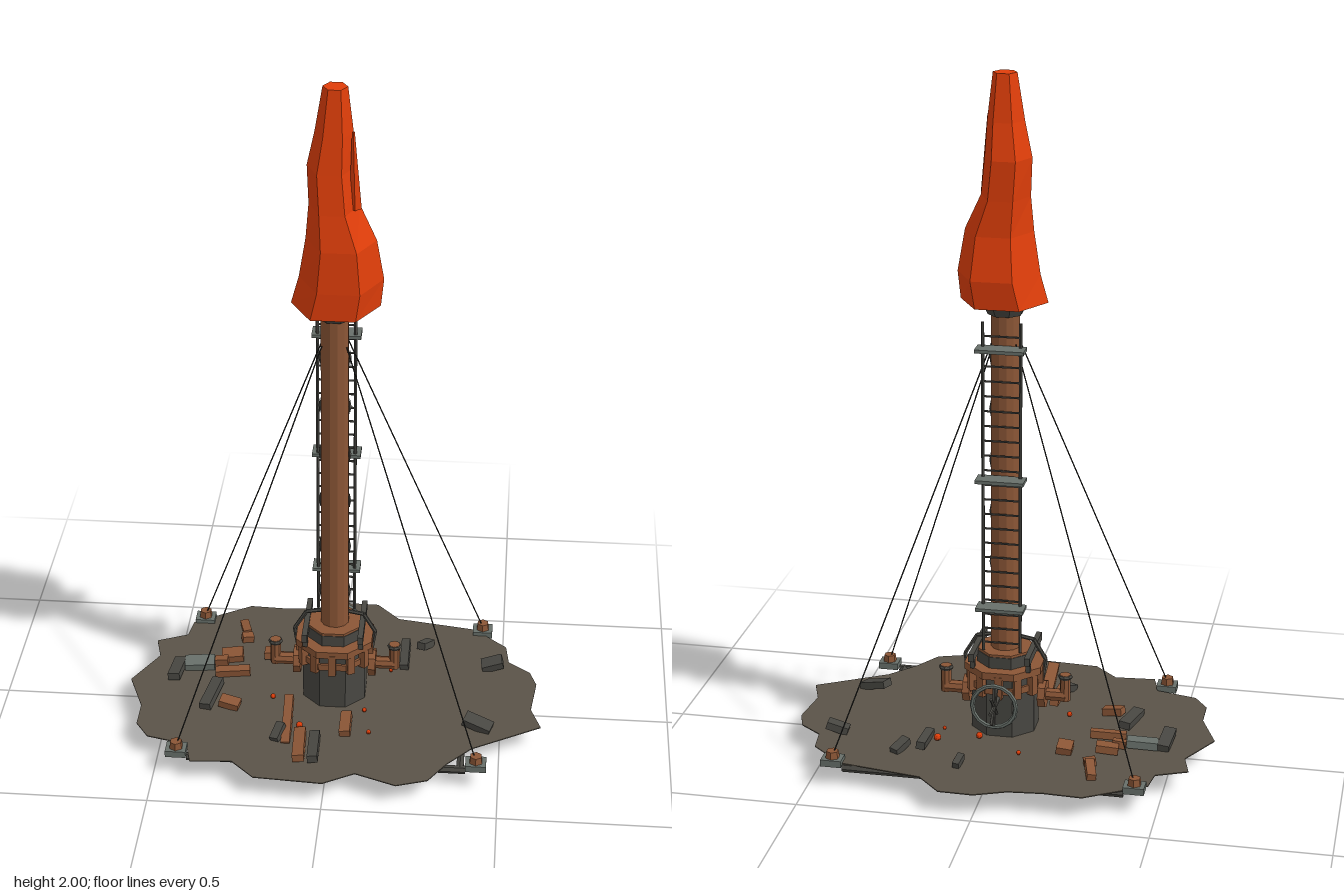
import * as THREE from 'three';

const mat = (name, color) => new THREE.MeshStandardMaterial({ name, color, flatShading: true });

export function createModel() {
  const group = new THREE.Group();
  const rust = mat('rust', 0x8b5636);
  const steel = mat('dark steel', 0x484742);
  const pale = mat('pale steel', 0x68706a);
  const flameOrange = mat('flame orange', 0xe03e0a);
  const soil = mat('scorched soil', 0x5a5348);
  const black = mat('cable black', 0x2a2a28);

  const add = (name, geo, material, x = 0, y = 0, z = 0, rx = 0, ry = 0, rz = 0) => {
    const m = new THREE.Mesh(geo, material);
    m.name = name;
    m.position.set(x, y, z);
    m.rotation.set(rx, ry, rz);
    group.add(m);
    return m;
  };
  const box = (w, h, d) => new THREE.BoxGeometry(w, h, d);
  const cyl = (rt, rb, h, n = 8) => new THREE.CylinderGeometry(rt, rb, h, n);
  // Straight rod between two points
  const rod = (name, a, b, r, material, n = 6) => {
    const p = new THREE.Vector3(...a), q = new THREE.Vector3(...b);
    const m = add(name, cyl(r, r, p.distanceTo(q), n), material);
    m.position.copy(p).add(q).multiplyScalar(0.5);
    m.quaternion.setFromUnitVectors(new THREE.Vector3(0, 1, 0), q.sub(p).normalize());
  };

  // Ragged patch of ground
  const outline = [
    [0.605, -0.07], [0.59, 0.06], [0.62, 0.145], [0.42, 0.265], [0.35, 0.345], [0.3, 0.425],
    [0.21, 0.456], [0.09, 0.41], [0, 0.463], [-0.2, 0.45], [-0.27, 0.38], [-0.39, 0.39],
    [-0.41, 0.31], [-0.53, 0.28], [-0.57, 0.22], [-0.57, 0.13], [-0.62, 0], [-0.55, -0.13],
    [-0.57, -0.21], [-0.48, -0.25], [-0.47, -0.32], [-0.3, -0.425], [-0.19, -0.42],
    [-0.09, -0.43], [0, -0.467], [0.1, -0.465], [0.17, -0.39], [0.41, -0.35],
    [0.51, -0.26], [0.52, -0.18], [0.585, -0.13]];
  const shape = new THREE.Shape(outline.map(([x, z]) => new THREE.Vector2(x, -z)));
  const patch = new THREE.ExtrudeGeometry(shape, { depth: 0.003, bevelEnabled: false });
  add('ground', patch.rotateX(-Math.PI / 2), soil, 0, 0.062, 0);

  // Buried frame beams
  for (const s of [-1, 1]) {
    rod('frameBeamAcross', [-0.405, 0.05, s * 0.348], [0.405, 0.05, s * 0.348], 0.012, steel);
    rod('frameBeamSide', [s * 0.39, 0.05, -0.35], [s * 0.39, 0.05, 0.35], 0.012, steel);
  }

  // Drum, flange and deck
  add('drum', cyl(0.1, 0.1, 0.2), steel, 0, 0.165, 0, 0, Math.PI / 8);
  add('flange', cyl(0.122, 0.122, 0.022), rust, 0, 0.262, 0, 0, Math.PI / 8);
  add('flangeLower', cyl(0.108, 0.108, 0.02), rust, 0, 0.21, 0, 0, Math.PI / 8);
  for (let i = 0; i < 12; i++) {
    const a = (i / 12) * Math.PI * 2;
    add('lug', box(0.022, 0.07, 0.022), rust, Math.sin(a) * 0.103, 0.225, Math.cos(a) * 0.103, 0, a);
  }
  add('deckDrum', cyl(0.085, 0.085, 0.035), steel, 0, 0.29, 0, 0, Math.PI / 8);
  add('deckPlate', cyl(0.083, 0.083, 0.008), rust, 0, 0.311, 0, 0, Math.PI / 8);
  for (const s of [-1, 1]) {
    add('deckRail', box(0.016, 0.024, 0.2), steel, s * 0.082, 0.309, 0);
    for (const z of [-0.075, 0.075]) add('deckPost', box(0.014, 0.03, 0.016), steel, s * 0.082, 0.285, z);
  }
  add('lowerRing', new THREE.TorusGeometry(0.045, 0.005, 5, 8), steel, 0, 0.07, 0);

  // Side outlets and feed pipes, mirrored
  for (const s of [-1, 1]) {
    add('outletFlange', cyl(0.042, 0.042, 0.022), rust, s * 0.112, 0.17, 0, 0, 0, Math.PI / 2);
    rod('outletPipe', [s * 0.1, 0.17, 0], [s * 0.18, 0.17, 0], 0.019, rust, 8);
    add('outletRiser', cyl(0.016, 0.016, 0.082), rust, s * 0.178, 0.196, 0);
    add('outletCollar', new THREE.TorusGeometry(0.015, 0.007, 6, 8), steel, s * 0.178, 0.23, 0, Math.PI / 2);
    const path = [[0.03, 0.35], [0.085, 0.34], [0.12, 0.28], [0.11, 0.215]];
    for (let i = 0; i < 3; i++) {
      rod('feedPipe', [s * path[i][0], path[i][1], 0], [s * path[i + 1][0], path[i + 1][1], 0], 0.006, steel);
    }
  }

  // Valve wheel at the back
  rod('valveStem', [0, 0.195, -0.09], [0, 0.195, -0.17], 0.008, steel);
  add('valveRim', new THREE.TorusGeometry(0.064, 0.007, 6, 16), pale, 0, 0.195, -0.168);
  for (let i = 0; i < 4; i++) {
    add('valveSpoke', cyl(0.005, 0.005, 0.115, 5), steel, 0, 0.195, -0.168, i * Math.PI / 4);
  }

  // Stack
  add('stack', cyl(0.04, 0.042, 1.05, 12), rust, 0, 0.835, 0, 0, Math.PI / 12);
  add('stackCollar', cyl(0.062, 0.05, 0.025), steel, 0, 1.335, 0, 0, Math.PI / 8);
  add('stackLip', cyl(0.052, 0.052, 0.025), rust, 0, 1.35, 0, 0, Math.PI / 8);
  for (let i = 0; i < 6; i++) for (const s of [-1, 1]) {
    add('stackStud', new THREE.OctahedronGeometry(1), steel, s * 0.042, 0.42 + i * 0.155, 0).scale.set(0.005, 0.026, 0.007);
  }

  // Ladder with landings
  for (const s of [-1, 1]) rod('ladderRail', [s * 0.054, 0.32, -0.055], [s * 0.054, 1.31, -0.055], 0.005, steel);
  for (let i = 0; i < 22; i++) {
    const y = 0.345 + i * 0.044;
    rod('ladderRung', [-0.054, y, -0.055], [0.054, y, -0.055], 0.0032, steel, 5);
  }
  for (const y of [0.46, 0.85, 1.235]) {
    add('landing', box(0.14, 0.01, 0.055), pale, 0, y, -0.07);
  }

  // Guy cables and their anchors
  for (const sx of [-1, 1]) for (const sz of [-1, 1]) {
    rod('guyCable', [sx * 0.035, 1.24, sz * 0.025], [sx * 0.432, 0.09, sz * 0.342], 0.002, black, 5);
    add('anchorPlate', box(0.06, 0.02, 0.05), pale, sx * 0.435, 0.067, sz * 0.342);
    add('anchorBolt', cyl(0.018, 0.021, 0.024, 6), rust, sx * 0.435, 0.086, sz * 0.342);
  }

  // Flame: six-sided column, rows from top to bottom [y, min x, max x, min z, max z]
  const rows = [
    [2.0, -0.033, 0.035, -0.03, 0.03], [1.87, -0.055, 0.05, -0.055, 0.048], [1.77, -0.077, 0.056, -0.083, 0.062],
    [1.66, -0.072, 0.068, -0.085, 0.078], [1.56, -0.08, 0.115, -0.09, 0.098],
    [1.44, -0.1, 0.135, -0.115, 0.106], [1.36, -0.122, 0.127, -0.11, 0.107]];
  const flame = new THREE.CylinderGeometry(1, 1, 6, 6, 6).rotateY(Math.PI / 2);
  const p = flame.attributes.position;
  for (let i = 0; i < p.count; i++) {
    const [y, x0, x1, z0, z1] = rows[Math.round(3 - p.getY(i))];
    const u = (p.getX(i) + 1) / 2, v = (p.getZ(i) / Math.sin(Math.PI / 3) + 1) / 2;
    p.setXYZ(i, x0 + (x1 - x0) * u, y, z0 + (z1 - z0) * v);
  }
  flame.computeVertexNormals();
  add('flame', flame, flameOrange);
  add('flameTongue', cyl(0.004, 0.018, 0.22, 5), flameOrange, 0.054, 1.77, 0.02, 0, 0, 0.03);

  // Scattered debris: [x, z, width, length, turn, tilt, material]
  const debris = [
    [-0.30, -0.28, 0.026, 0.08, 0.25, 0.15, rust], [-0.325, -0.133, 0.065, 0.048, 0.1, 0.1, rust],
    [-0.205, -0.153, 0.045, 0.05, 0, 0.15, rust], [-0.315, -0.047, 0.105, 0.028, 0.1, 0.05, rust],
    [-0.305, 0.115, 0.06, 0.038, -0.2, 0.15, rust], [-0.125, 0.19, 0.026, 0.19, 0.03, 0.2, rust],
    [-0.08, 0.303, 0.034, 0.16, 0.05, 0.1, rust], [0.047, 0.193, 0.032, 0.09, 0, 0.1, rust],
    [-0.29, -0.23, 0.035, 0.026, 0.3, 0.1, rust], [-0.355, -0.1, 0.04, 0.025, 0, 0.1, rust],
    [-0.485, -0.047, 0.036, 0.105, -0.08, 0.1, steel], [-0.365, 0.073, 0.034, 0.13, -0.2, 0.08, steel],
    [-0.037, 0.31, 0.03, 0.145, 0.03, 0.1, steel], [0.202, -0.177, 0.026, 0.125, 0, 0.1, steel],
    [0.262, -0.237, 0.028, 0.06, -0.5, 0.3, steel], [0.47, -0.15, 0.065, 0.045, 0.1, 0.3, steel],
    [0.435, 0.16, 0.085, 0.045, -0.3, 0.25, steel], [-0.148, 0.25, 0.026, 0.06, -0.3, 0.35, steel],
    [0.077, -0.3, 0.02, 0.045, -0.2, 0.3, steel], [-0.42, -0.083, 0.09, 0.05, 0.08, 0.05, pale]];
  debris.forEach(([x, z, w, d, turn, tilt, m], i) => {
    const along = d > w, t = i % 2 ? tilt : -tilt;
    const piece = add('debris', box(w, 0.022, d), m, x, 0.079, z);
    piece.rotation.set(along ? t : 0.1, turn, along ? 0.1 : t, 'YXZ');
  });
  add('fallenShard', box(0.018, 0.016, 0.06), rust, -0.1, 0.024, 0.29, 0.62);

  // Glowing embers
  const embers = [[0.17, -0.157, 11], [0.053, -0.122, 10], [-0.08, -0.21, 7], [-0.18, 0.07, 8], [-0.088, 0.207, 10],
    [0.097, 0.117, 7], [0.117, 0.225, 7], [0.163, -0.093, 6], [0.085, -0.29, 8]];
  for (const [x, z, r] of embers) add('ember', new THREE.IcosahedronGeometry(r / 1000, 1), flameOrange, x, 0.077, z);

  return group;
}
